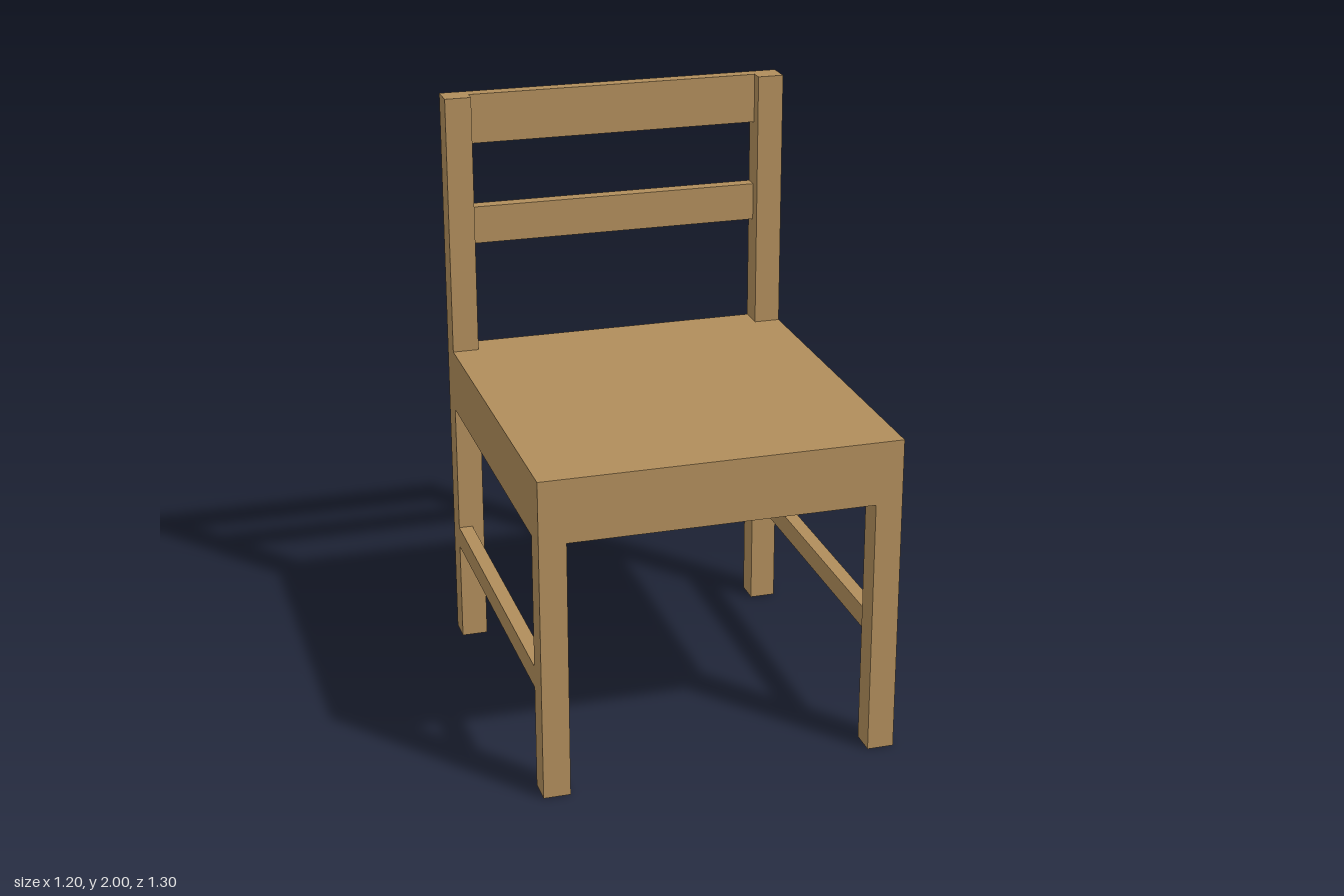
import * as THREE from 'three';

export function createModel() {
  const chair = new THREE.Group();
  chair.name = 'chair';
  const wood = new THREE.MeshStandardMaterial({ color: 0xb08d5b });
  wood.name = 'wood';

  const W = 0.6, D = 0.65;      // half width and half depth
  const leg = 0.09, board = 0.048;
  const seatTop = 1.1, seatBottom = seatTop - board, apronBottom = 0.885;
  const innerX = W - leg, innerZ = D - leg;

  // Box given by its limits on each axis
  function box(name, x0, x1, y0, y1, z0, z1) {
    const mesh = new THREE.Mesh(new THREE.BoxGeometry(x1 - x0, y1 - y0, z1 - z0), wood);
    mesh.position.set((x0 + x1) / 2, (y0 + y1) / 2, (z0 + z1) / 2);
    mesh.name = name;
    chair.add(mesh);
  }

  // Seat board, notched around the back posts (shape y becomes -z)
  const outline = [
    [-W, -D], [W, -D], [W, innerZ], [innerX, innerZ],
    [innerX, D], [-innerX, D], [-innerX, innerZ], [-W, innerZ],
  ].map(([x, y]) => new THREE.Vector2(x, y));
  const seatGeometry = new THREE.ExtrudeGeometry(new THREE.Shape(outline), { depth: board, bevelEnabled: false });
  seatGeometry.rotateX(-Math.PI / 2);
  const seat = new THREE.Mesh(seatGeometry, wood);
  seat.name = 'seat';
  seat.position.y = seatBottom;
  chair.add(seat);

  // Legs, posts, side aprons and side stretchers
  for (const [side, s] of [['left', 1], ['right', -1]]) {
    const sideBox = (name, thickness, ...limits) =>
      box(side + name, s > 0 ? W - thickness : -W, s > 0 ? W : thickness - W, ...limits);
    sideBox('FrontLeg', leg, 0, seatBottom, innerZ, D);
    sideBox('BackPost', leg, 0, 2, -D, -innerZ);
    sideBox('Apron', board, apronBottom, seatBottom, -innerZ, innerZ);
    sideBox('Stretcher', board, 0.355, 0.43, -innerZ, innerZ);
  }

  // Front and back aprons
  box('frontApron', -innerX, innerX, apronBottom, seatBottom, D - board, D);
  box('backApron', -innerX, innerX, apronBottom, seatBottom, -D, board - D);

  // Backrest rails, flush with the rear of the posts
  box('topRail', -innerX, innerX, 1.83, 2, -D, board - D);
  box('middleRail', -innerX, innerX, 1.475, 1.605, -D, board - D);

  return chair;
}
